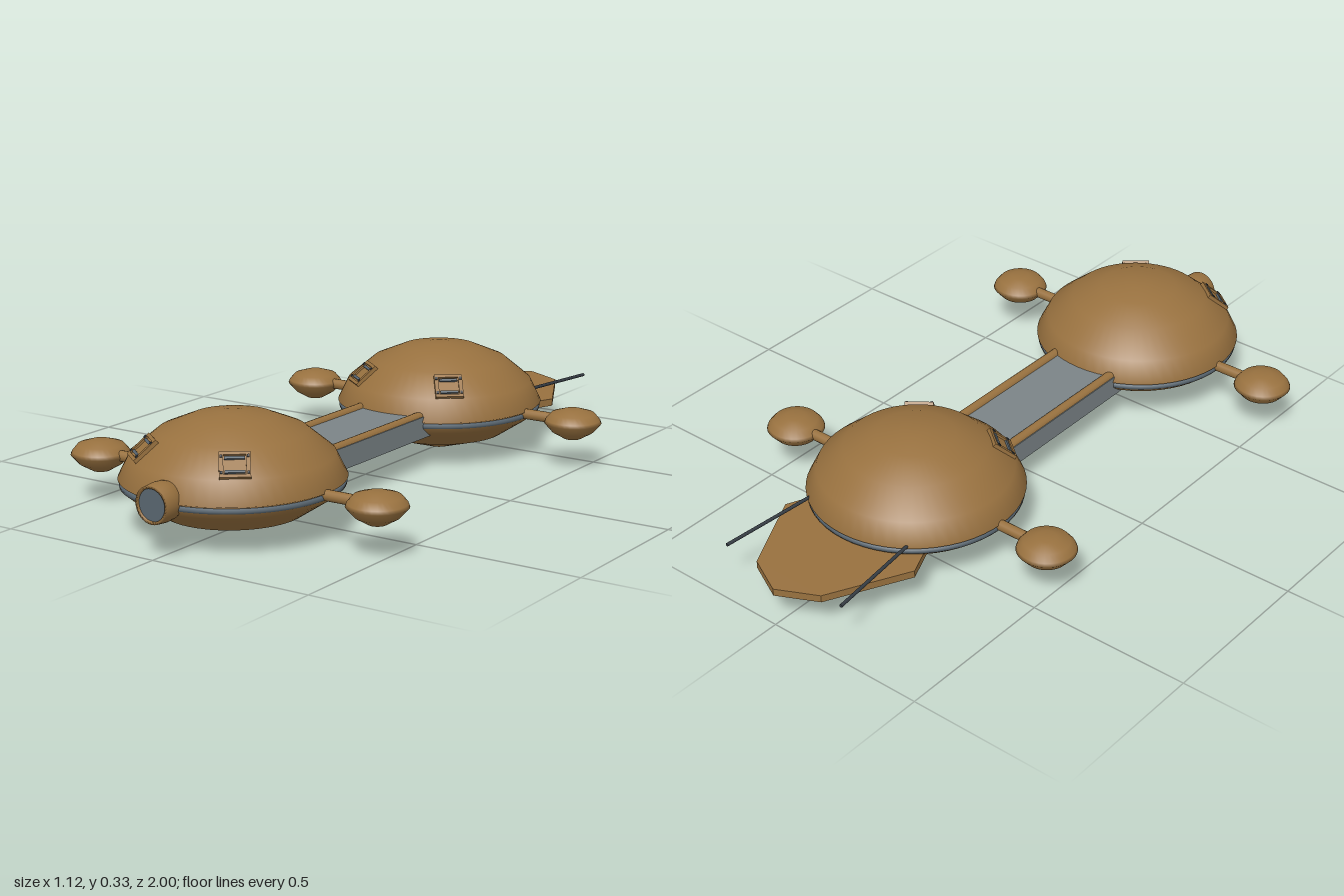
import * as THREE from 'three';

const mat = (name, color, side = THREE.FrontSide) => {
  const m = new THREE.MeshStandardMaterial({ color, side });
  m.name = name;
  return m;
};

export function createModel() {
  const root = new THREE.Group();
  root.name = 'twinSaucerShip';
  const bronze = mat('bronze', 0x98713f, THREE.DoubleSide);
  const slate = mat('slate', 0x58656f);
  const grey = mat('deckGrey', 0x7b8487);
  const dark = mat('darkMetal', 0x343b42);

  const add = (parent, name, geometry, material, x = 0, y = 0, z = 0) => {
    const mesh = new THREE.Mesh(geometry, material);
    mesh.name = name;
    mesh.position.set(x, y, z);
    parent.add(mesh);
    return mesh;
  };
  const lathe = (pts, segments = 56) =>
    new THREE.LatheGeometry(pts.map(([r, y]) => new THREE.Vector2(r, y)), segments);
  // Round bar between two points
  const rod = (parent, name, a, b, radius, material) => {
    const from = new THREE.Vector3(...a), to = new THREE.Vector3(...b);
    const mesh = add(parent, name,
      new THREE.CylinderGeometry(radius, radius, from.distanceTo(to), 16), material);
    mesh.position.copy(from).lerp(to, 0.5);
    mesh.quaternion.setFromUnitVectors(new THREE.Vector3(0, 1, 0), to.sub(from).normalize());
  };

  // Framed hatch, lying in its own xy plane
  const hatch = () => {
    const g = new THREE.Group();
    g.name = 'hatch';
    for (const s of [-1, 1]) {
      add(g, 'hatchSideBar', new THREE.BoxGeometry(0.012, 0.078, 0.012), bronze, s * 0.036, 0, 0);
      add(g, 'hatchCrossBar', new THREE.BoxGeometry(0.084, 0.01, 0.012), bronze, 0, s * 0.036, 0);
      add(g, 'hatchSlot', new THREE.BoxGeometry(0.054, 0.008, 0.009), slate, 0, s * 0.022, 0.001);
      for (const t of [-1, 1])
        add(g, 'hatchStud', new THREE.BoxGeometry(0.007, 0.008, 0.004), dark, s * 0.036, t * 0.026, 0.007);
    }
    add(g, 'hatchPlate', new THREE.BoxGeometry(0.066, 0.07, 0.006), bronze, 0, 0, -0.003);
    return g;
  };

  const upper = [[0.3, 0.141], [0.315, 0.15], [0.283, 0.215], [0.205, 0.28], [0.115, 0.318], [0.035, 0.33], [0, 0.33]];
  const lower = [[0, 0], [0.032, 0.001], [0.2, 0.053], [0.287, 0.11], [0.311, 0.13], [0.3, 0.131]];
  const band = [[0.298, 0.126], [0.31, 0.13], [0.312, 0.136], [0.31, 0.143], [0.298, 0.146]];
  const pod = [[0, 0.09], [0.026, 0.091], [0.062, 0.112], [0.086, 0.139], [0.082, 0.149], [0.066, 0.168], [0.028, 0.18], [0, 0.18]];

  // Two saucers, each with side pods and a pair of hatches
  for (const z of [0.647, -0.413]) {
    const saucer = new THREE.Group();
    saucer.name = z > 0 ? 'frontSaucer' : 'rearSaucer';
    saucer.position.z = z;
    root.add(saucer);
    add(saucer, 'upperHull', lathe(upper), bronze);
    add(saucer, 'lowerHull', lathe(lower), bronze);
    add(saucer, 'rimBand', lathe(band), slate);
    for (const s of [-1, 1]) {
      add(saucer, 'sidePod', lathe(pod, 32), bronze, s * 0.473);
      rod(saucer, 'podArm', [s * 0.28, 0.143, 0], [s * 0.43, 0.143, 0], 0.016, bronze);
      const turn = new THREE.Group();
      turn.name = 'hatchMount';
      turn.rotation.y = s * 0.67;
      saucer.add(turn);
      const h = hatch();
      h.position.set(0, 0.246, 0.25);
      h.rotation.x = -0.86;
      turn.add(h);
    }
  }

  // Bridge joining the saucers, with rails along its upper edges
  add(root, 'bridgeDeck', new THREE.BoxGeometry(0.244, 0.066, 0.7), grey, 0, 0.133, 0.117);
  for (const s of [-1, 1])
    rod(root, 'bridgeRail', [s * 0.104, 0.162, -0.22], [s * 0.104, 0.162, 0.45], 0.016, bronze);

  // Nose sensor with a dark lens
  const housing = add(root, 'noseHousing',
    lathe([[0.044, 0.9], [0.055, 0.945], [0.056, 0.965], [0.053, 1], [0.045, 1], [0.045, 0.985]], 32), bronze, 0, 0.15, 0);
  housing.rotation.x = Math.PI / 2;
  const lens = add(root, 'noseLens', new THREE.CylinderGeometry(0.046, 0.046, 0.06, 32), slate, 0, 0.15, 0.965);
  lens.rotation.x = Math.PI / 2;

  // Flat tail fin
  const outline = [[0, 1], [0.12, 0.94], [0.243, 0.7], [0.2, 0.6], [-0.2, 0.6], [-0.243, 0.7], [-0.12, 0.94]];
  const finShape = new THREE.Shape(outline.map(([x, y]) => new THREE.Vector2(x, y)));
  const fin = add(root, 'tailFin',
    new THREE.ExtrudeGeometry(finShape, { depth: 0.022, bevelEnabled: false }), bronze, 0, 0.1, 0);
  fin.rotation.x = -Math.PI / 2;

  // Rear antennas
  for (const s of [-1, 1])
    rod(root, 'antenna', [s * 0.178, 0.155, -0.62], [s * 0.212, 0.146, -0.96], 0.005, dark);

  return root;
}
